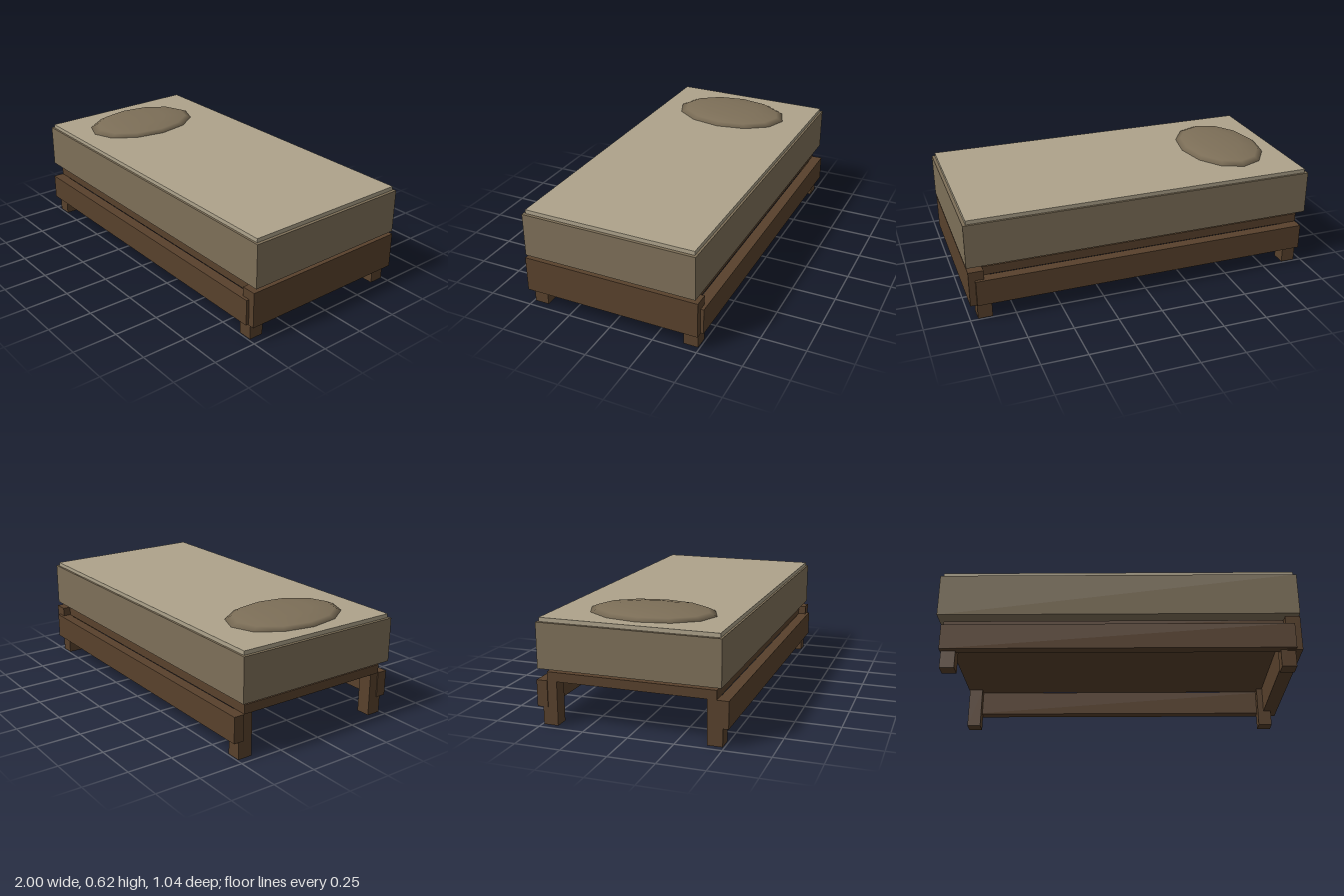
import * as THREE from 'three';

const material = (name, color) => {
  const m = new THREE.MeshStandardMaterial({ color });
  m.name = name;
  return m;
};

export function createModel() {
  const wood = material('dark wood', 0x58412c);
  const fabric = material('taupe fabric', 0x7d6f58);
  const linen = material('pale linen', 0xaea38b);
  const bed = new THREE.Group();
  bed.name = 'bed';

  // Box given by its minimum and maximum corners
  const box = (name, mat, [x0, y0, z0], [x1, y1, z1]) => {
    const mesh = new THREE.Mesh(new THREE.BoxGeometry(x1 - x0, y1 - y0, z1 - z0), mat);
    mesh.position.set((x0 + x1) / 2, (y0 + y1) / 2, (z0 + z1) / 2);
    mesh.name = name;
    bed.add(mesh);
    return mesh;
  };

  // Frame: platform and end board
  box('platform', wood, [-0.965, 0.243, -0.46], [0.91, 0.293, 0.46]);
  box('endBoard', wood, [0.912, 0.093, -0.505], [0.995, 0.294, 0.505]);

  // Side rails and legs, mirrored front to back
  for (const s of [1, -1]) {
    const side = s > 0 ? 'front' : 'back';
    const rail = box(side + 'Rail', wood, [-0.965, 0.098, -0.03], [0.96, 0.243, 0.03]);
    rail.position.z = s * 0.492;
    for (const x of [-0.92, 0.917]) {
      const leg = box(side + (x < 0 ? 'HeadLeg' : 'FootLeg'), wood, [-0.04, 0, -0.041], [0.04, 0.243, 0.041]);
      leg.position.x = x;
      leg.position.z = s * 0.45;
    }
  }

  // Mattress with a thin cover on top
  box('mattress', fabric, [-1, 0.317, -0.495], [1, 0.563, 0.495]);
  box('cover', linen, [-0.983, 0.563, -0.483], [0.983, 0.585, 0.483]);

  // Pillow: flattened sphere half sunk into the cover
  const pillow = new THREE.Mesh(new THREE.SphereGeometry(1, 12, 6), fabric);
  pillow.scale.set(0.245, 0.041, 0.357);
  pillow.position.set(-0.675, 0.582, 0.02);
  pillow.name = 'pillow';
  bed.add(pillow);

  return bed;
}
